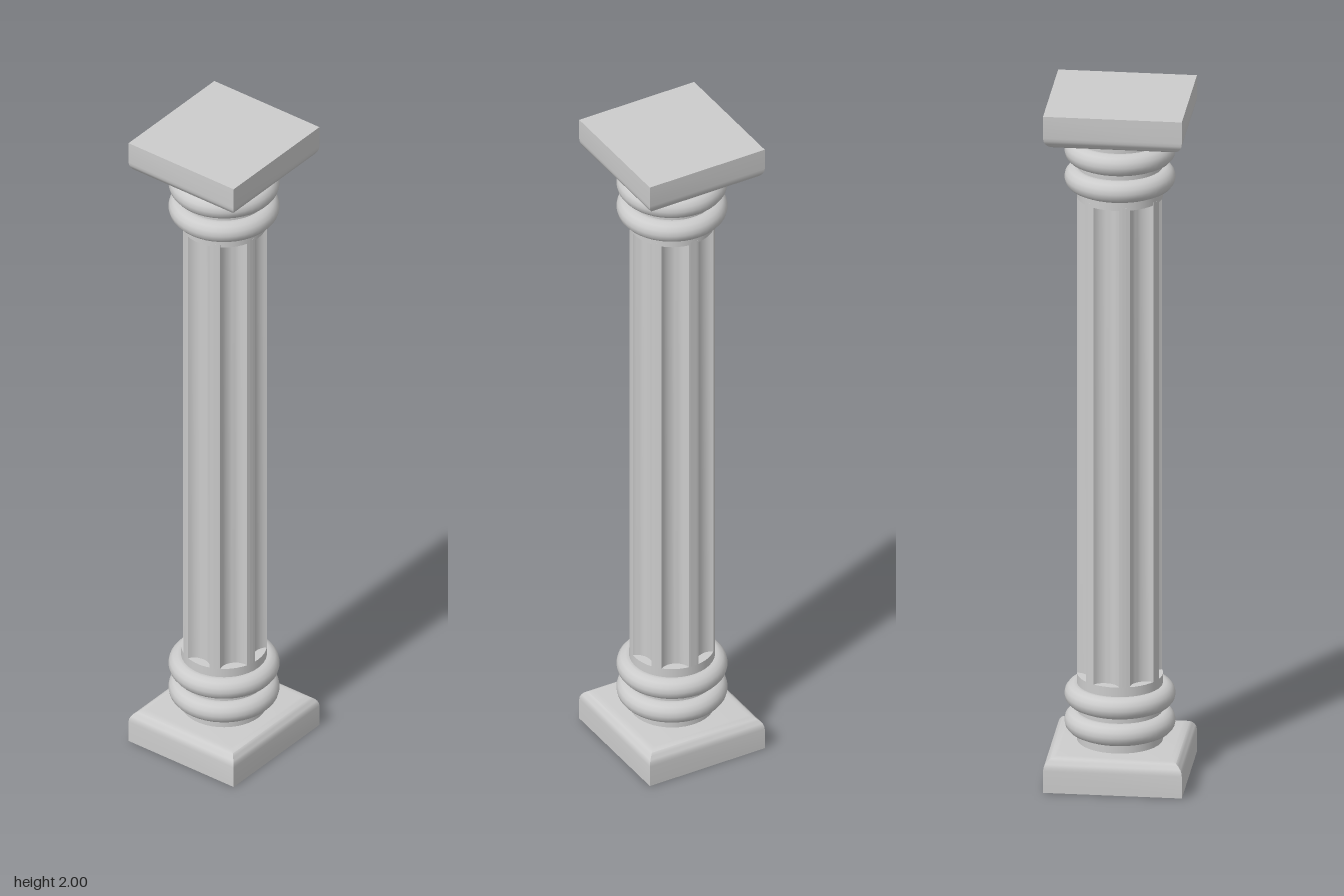
import * as THREE from 'three';
import { toCreasedNormals } from 'three/addons/utils/BufferGeometryUtils.js';

const R = 0.119;                 // shaft radius
const FLUTES = 7;
const SHAFT_LOW = 0.295, SHAFT_HIGH = 1.713;
const SLAB = 0.1;                // plinth height
const material = new THREE.MeshStandardMaterial({ color: 0xcccccc });

function add(parent, name, geometry, y = 0) {
  const mesh = new THREE.Mesh(geometry, material);
  mesh.name = name;
  mesh.position.y = y;
  parent.add(mesh);
  return mesh;
}

// Rectangular slab with sharp corners in plan and a rounded upper edge
function slabGeometry() {
  const hx = 0.193, hz = 0.184, r = 0.036;
  const inset = r / hx;
  const profile = [new THREE.Vector2(0, 0), new THREE.Vector2(1, 0)];
  for (let i = 0; i <= 6; i++) {
    const a = (i / 6) * Math.PI / 2;
    profile.push(new THREE.Vector2(1 - inset + inset * Math.cos(a), SLAB - r + r * Math.sin(a)));
  }
  profile.push(new THREE.Vector2(0, SLAB));
  const geometry = new THREE.LatheGeometry(profile, 4);
  geometry.rotateY(Math.PI / 4);
  geometry.scale(hx * Math.SQRT2, 1, hz * Math.SQRT2);
  return toCreasedNormals(geometry, 0.6);
}

// Round shaft with concave flutes separated by narrow fillets
function shaftGeometry() {
  const step = (Math.PI * 2) / FLUTES, half = 0.125;
  const polar = (r, a) => [r * Math.cos(a), r * Math.sin(a)];
  const shape = new THREE.Shape();
  shape.moveTo(...polar(R, -half));
  for (let i = 0; i < FLUTES; i++) {
    const a = i * step, mid = a + step / 2;
    shape.absarc(0, 0, R, a - half, a + half, false);
    shape.bezierCurveTo(
      ...polar(0.087, mid - 0.26), ...polar(0.087, mid + 0.26),
      ...polar(R, a + step - half));
  }
  const geometry = new THREE.ExtrudeGeometry(shape, {
    depth: SHAFT_HIGH - SHAFT_LOW, bevelEnabled: false, curveSegments: 10,
  });
  geometry.rotateX(-Math.PI / 2);
  return toCreasedNormals(geometry, 0.6);
}

// Slab, neck and two rings, standing on y = 0
function createEnd(name) {
  const end = new THREE.Group();
  end.name = name;
  add(end, 'plinth', slabGeometry());
  const neckHeight = SHAFT_LOW - SLAB + 0.01;
  add(end, 'neck', new THREE.CylinderGeometry(R, R, neckHeight, 42), SHAFT_LOW - neckHeight / 2);
  for (const y of [0.157, 0.236]) {
    const ring = new THREE.TorusGeometry(0.122, 0.032, 14, 42);
    ring.rotateX(Math.PI / 2);
    add(end, 'ring', ring, y);
  }
  return end;
}

export function createModel() {
  const column = new THREE.Group();
  column.name = 'column';

  add(column, 'flutedShaft', shaftGeometry(), SHAFT_LOW);

  const base = createEnd('base');
  // The capital is the base turned upside down
  const capital = createEnd('capital');
  capital.rotation.x = Math.PI;
  capital.position.y = 2;
  column.add(base, capital);

  return column;
}
